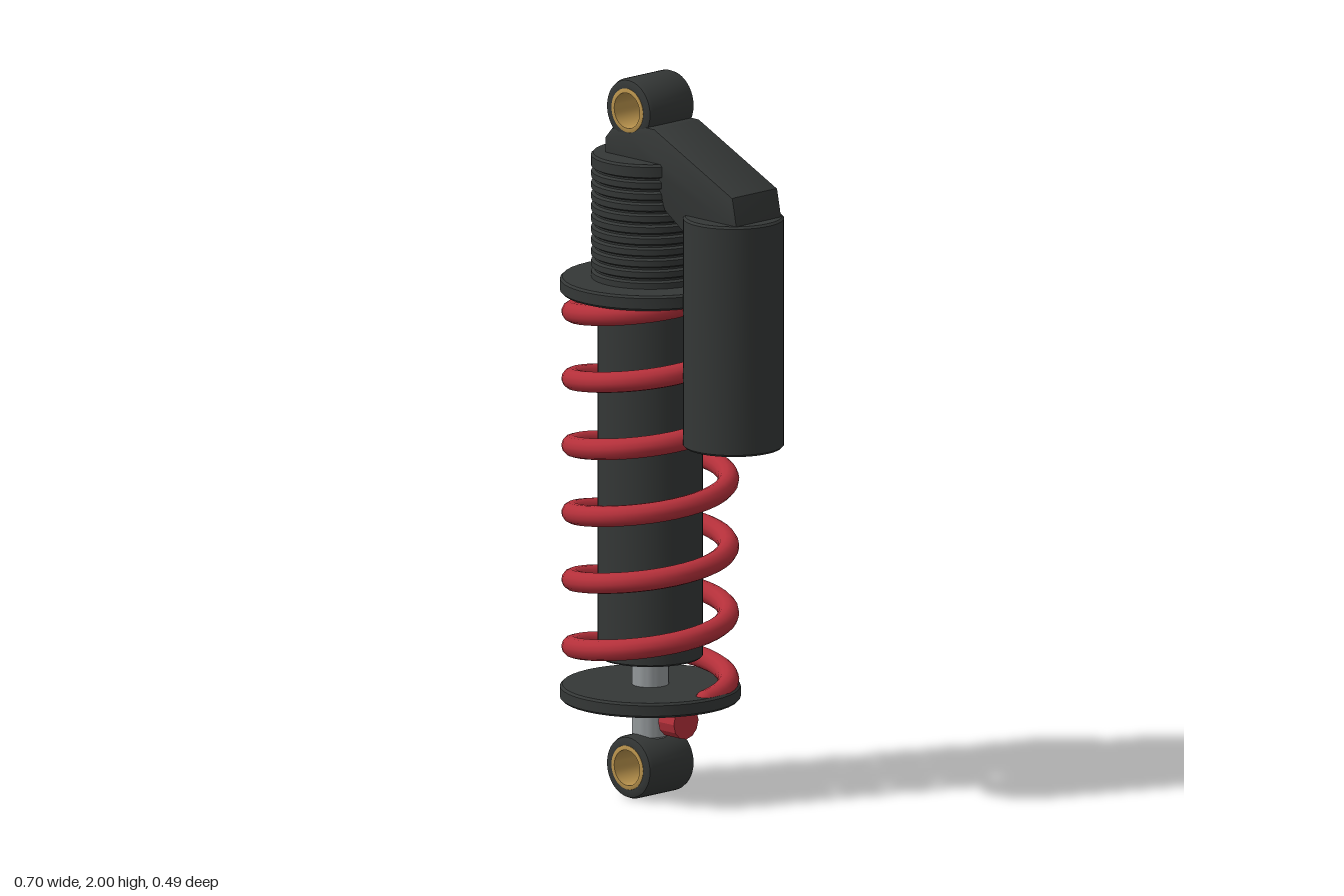
import * as THREE from 'three';
import { toCreasedNormals } from 'three/addons/utils/BufferGeometryUtils.js';

const AXIS = -0.108; // x of the damper axis

const paint = (color) => new THREE.MeshStandardMaterial({ color });

export function createModel() {
  const group = new THREE.Group();
  const dark = paint(0x343736), red = paint(0xb4303a), gold = paint(0xb8924c), steel = paint(0x94999b);

  function add(name, geometry, material, x = 0, y = 0, z = 0) {
    const mesh = new THREE.Mesh(geometry, material);
    mesh.name = name;
    mesh.position.set(x, y, z);
    group.add(mesh);
    return mesh;
  }

  // Revolve a profile of [radius, y] pairs, keeping hard edges sharp
  const lathe = (pts, sides = 40) => toCreasedNormals(
    new THREE.LatheGeometry(pts.map(([r, y]) => new THREE.Vector2(r, y)), sides), 0.6);

  // Solid cylinder with a small bevel on both rims
  const disc = (r, y0, y1, b = 0.005, sides = 40) => lathe([
    [0, y0], [r - b, y0], [r, y0 + b], [r, y1 - b], [r - b, y1], [0, y1]], sides);

  // Hollow ring centred on the origin, with bevelled outer rims
  const ring = (ro, ri, h, b) => lathe([
    [ri, -h], [ro - b, -h], [ro - b * 0.3, -h + b * 0.3], [ro, -h + b],
    [ro, h - b], [ro - b * 0.3, h - b * 0.3], [ro - b, h], [ri, h], [ri, -h]]);

  // Mounting eyes with bushings, bored front to back
  for (const [end, y] of [['lower', 0.088], ['upper', 1.914]]) {
    add(end + 'Eye', ring(0.087, 0.061, 0.087, 0.014), dark, AXIS, y).rotation.x = Math.PI / 2;
    add(end + 'Bushing', ring(0.062, 0.049, 0.089, 0.004), gold, AXIS, y).rotation.x = Math.PI / 2;
  }

  // Damper body, rod and spring perches
  add('damperBody', disc(0.143, 0.385, 1.46), dark, AXIS);
  add('pistonRod', disc(0.05, 0.163, 0.42), steel, AXIS);
  add('lowerPerch', disc(0.245, 0.267, 0.308, 0.006), dark, AXIS);
  add('upperPerch', disc(0.245, 1.398, 1.44, 0.006), dark, AXIS);

  // Threaded collar with a plain rim on top
  const thread = [[0, 1.43]];
  const turns = 10, pitch = 0.031;
  for (let i = 0; i < turns; i++) {
    const y = 1.435 + i * pitch;
    thread.push([0.151, y], [0.16, y + 0.005], [0.16, y + 0.021], [0.151, y + 0.026]);
  }
  thread.push([0.151, 1.745], [0.161, 1.75], [0.161, 1.779], [0.155, 1.785], [0, 1.785]);
  add('threadedCollar', lathe(thread), dark, AXIS);

  // Coil spring: six turns, descending from right to front to left
  class Helix extends THREE.Curve {
    getPoint(t, target = new THREE.Vector3()) {
      const a = -t * 6 * Math.PI * 2;
      return target.set(0.212 * Math.cos(a), 0.295 + 1.117 * t, 0.212 * Math.sin(a));
    }
  }
  const helix = new Helix();
  add('coilSpring', new THREE.TubeGeometry(helix, 240, 0.029, 12), red, AXIS);
  for (const t of [0, 1]) {
    const p = helix.getPoint(t);
    add('springEnd', new THREE.SphereGeometry(0.029, 12, 8), red, AXIS + p.x, p.y, p.z);
  }

  // Rebound adjuster knob beside the rod
  const knob = new THREE.CylinderGeometry(0.047, 0.047, 0.06, 12).rotateZ(Math.PI / 2);
  add('adjusterKnob', toCreasedNormals(knob, 0.4), red, 0, 0.222);

  // Reservoir
  add('reservoir', disc(0.137, 1.02, 1.66, 0.006), dark, 0.213);

  // Bridge joining the upper eye to the reservoir
  const b = 0.01;
  const outline = new THREE.Shape([
    [-0.188, 1.76], [-0.188, 1.822], [-0.165, 1.848], [-0.105, 1.848], [-0.055, 1.87], [-0.008, 1.87],
    [0.288, 1.73], [0.302, 1.66], [0.29, 1.61], [0.12, 1.61], [0.04, 1.665], [0.0, 1.76],
  ].map(([x, y]) => new THREE.Vector2(x, y)));
  const bridge = new THREE.ExtrudeGeometry(outline, {
    depth: 0.176 - 2 * b, bevelEnabled: true, bevelThickness: b, bevelSize: b, bevelSegments: 2,
  });
  add('bridge', toCreasedNormals(bridge, 0.5), dark, 0, 0, b - 0.088);

  return group;
}
